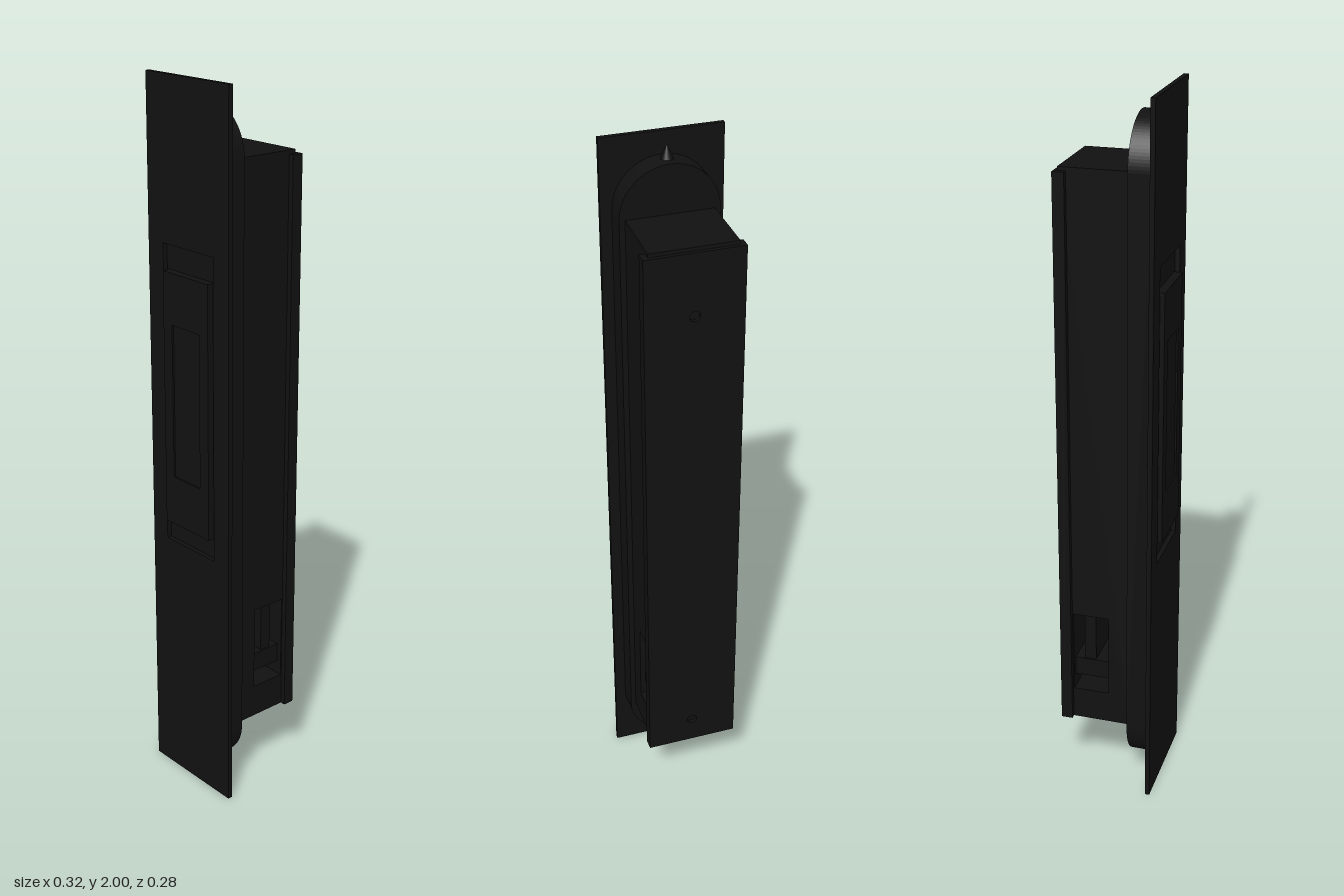
import * as THREE from 'three';

const black = new THREE.MeshStandardMaterial({ color: 0x111111 });

// Closed rectangle from corner coordinates
function rect(Type, x0, y0, x1, y1) {
  const p = new Type();
  p.moveTo(x0, y0);
  p.lineTo(x1, y0);
  p.lineTo(x1, y1);
  p.lineTo(x0, y1);
  p.closePath();
  return p;
}

// Extrudes an x-y outline from z0 to z1
function slab(shape, z0, z1) {
  const g = new THREE.ExtrudeGeometry(shape, { depth: z1 - z0, bevelEnabled: false, curveSegments: 24 });
  return g.translate(0, 0, z0);
}

// Box from its minimum and maximum corners
function box(x0, x1, y0, y1, z0, z1) {
  const g = new THREE.BoxGeometry(x1 - x0, y1 - y0, z1 - z0);
  return g.translate((x0 + x1) / 2, (y0 + y1) / 2, (z0 + z1) / 2);
}

export function createModel() {
  const group = new THREE.Group();
  const add = (name, geometry) => {
    const mesh = new THREE.Mesh(geometry, black);
    mesh.name = name;
    group.add(mesh);
    return mesh;
  };

  // Front plate with a long opening
  const plate = rect(THREE.Shape, -0.16, 0, 0.16, 2);
  plate.holes.push(rect(THREE.Path, -0.1, 0.73, 0.1, 1.57));
  add('facePlate', slab(plate, 0.117, 0.13));

  // Raised grip in the opening, with a recessed centre
  const grip = rect(THREE.Shape, -0.09, 0.79, 0.09, 1.5);
  grip.holes.push(rect(THREE.Path, -0.055, 0.93, 0.055, 1.36));
  add('gripFrame', slab(grip, 0.115, 0.14));
  add('gripCentre', box(-0.055, 0.055, 0.93, 1.36, 0.115, 0.135));

  // Round-ended mounting flange, notched at its lower end
  const r = 0.13, half = 0.055, low = 0.2, high = 1.81;
  const a = Math.acos(half / r);
  const flange = new THREE.Shape();
  flange.moveTo(r, low);
  flange.lineTo(r, high);
  flange.absarc(0, high, r, 0, Math.PI, false);
  flange.lineTo(-r, low);
  flange.absarc(0, low, r, Math.PI, 2 * Math.PI - (Math.PI - a), false);
  flange.lineTo(-half, 0.13);
  flange.lineTo(half, 0.13);
  flange.absarc(0, low, r, 2 * Math.PI - a, 2 * Math.PI, false);
  add('mountingFlange', slab(flange, 0.053, 0.117));

  // Pointed fixing pin on the upper end
  const pin = add('fixingPin', new THREE.ConeGeometry(0.019, 0.045, 20));
  pin.position.set(-0.004, 1.955, 0.09);

  // Housing, extruded across the width with a window right through
  const side = rect(THREE.Shape, -0.06, 0.2, 0.132, 1.81);
  side.holes.push(rect(THREE.Path, 0.005, 0.295, 0.107, 0.54));
  const housing = slab(side, -0.115, 0.115);
  housing.rotateY(Math.PI / 2);
  add('housing', housing);

  // Latch bars inside the window
  add('latchBar', box(-0.095, 0.095, 0.38, 0.54, -0.08, -0.047));
  add('latchBlock', box(-0.1, 0.1, 0.335, 0.39, -0.107, -0.005));

  // Back cover with two screw holes and folded edges
  const cover = rect(THREE.Shape, -0.13, 0.2, 0.13, 1.8);
  for (const y of [0.28, 1.63]) {
    const hole = new THREE.Path();
    hole.absarc(0, y, 0.014, 0, Math.PI * 2, true);
    cover.holes.push(hole);
  }
  add('backCover', slab(cover, -0.142, -0.13));
  for (const s of [-1, 1]) {
    const edge = add('coverEdge', box(-0.0085, 0.0085, 0.2, 1.8, -0.131, -0.11));
    edge.position.x = s * 0.1215;
  }

  return group;
}
